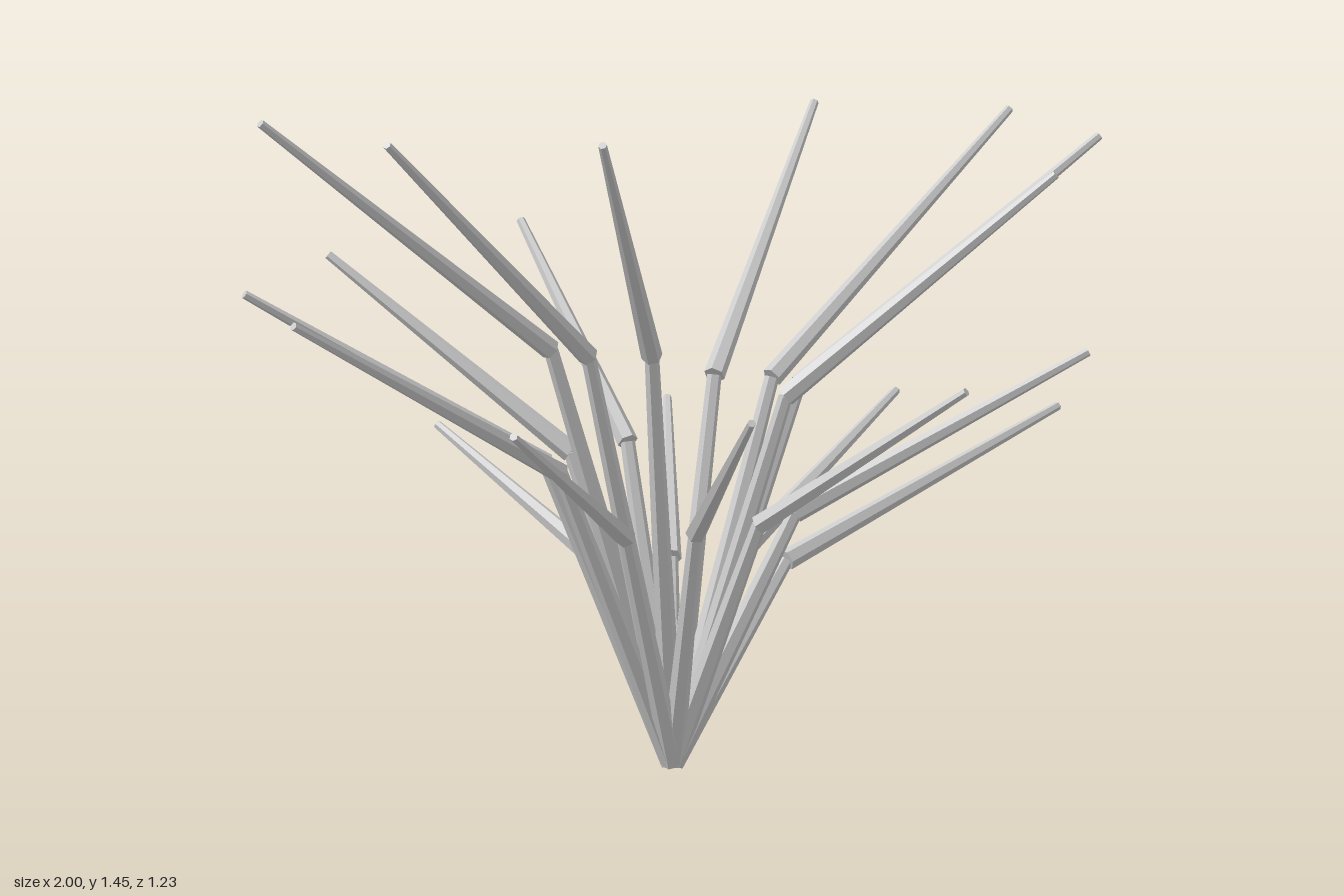
import * as THREE from 'three';

const UP = new THREE.Vector3(0, 1, 0);

// Tapered six-sided rod between two points
function rod(name, from, to, rFrom, rTo, material) {
  const dir = to.clone().sub(from);
  const mesh = new THREE.Mesh(new THREE.CylinderGeometry(rTo, rFrom, dir.length(), 6), material);
  mesh.name = name;
  mesh.position.copy(from).add(to).multiplyScalar(0.5);
  mesh.quaternion.setFromUnitVectors(UP, dir.normalize());
  return mesh;
}

export function createModel() {
  const group = new THREE.Group();
  group.name = 'spikyPlant';
  const material = new THREE.MeshStandardMaterial({ color: 0xcccccc, flatShading: true });

  // Blade tips: x, y, z, going round the plant
  const tips = [
    [0.997, 0.637, 0.005], [0.937, 1.237, 0.22], [0.762, 0.837, 0.41], [0.607, 1.237, 0.502],
    [0.297, 0.837, 0.604], [-0.26, 0.837, 0.608], [-0.575, 1.437, 0.518], [-0.735, 0.837, 0.428],
    [-0.92, 1.437, 0.245], [-0.995, 1.037, 0.03], [-0.98, 1.437, -0.1], [-0.86, 1.037, -0.308],
    [-0.46, 1.037, -0.545], [-0.13, 0.637, -0.608], [0.085, 1.037, -0.608], [0.422, 0.637, -0.555],
    [0.705, 1.237, -0.43], [0.838, 0.637, -0.33], [0.972, 1.237, -0.125],
  ];

  const root = new THREE.Vector3(0, 0.012, 0.008);
  tips.forEach(([x, y, z], i) => {
    const blade = new THREE.Group();
    blade.name = `blade${i + 1}`;
    const tip = new THREE.Vector3(x, y, z);
    // Each blade bends outward at a knee, where the leaf starts as a wider collar
    const knee = root.clone().lerp(tip, 0.295).setY(y * 0.625);
    blade.add(rod('lowerStem', root, knee, 0.024, 0.015, material));
    blade.add(rod('upperLeaf', knee, tip, 0.022, 0.009, material));
    group.add(blade);
  });
  return group;
}
